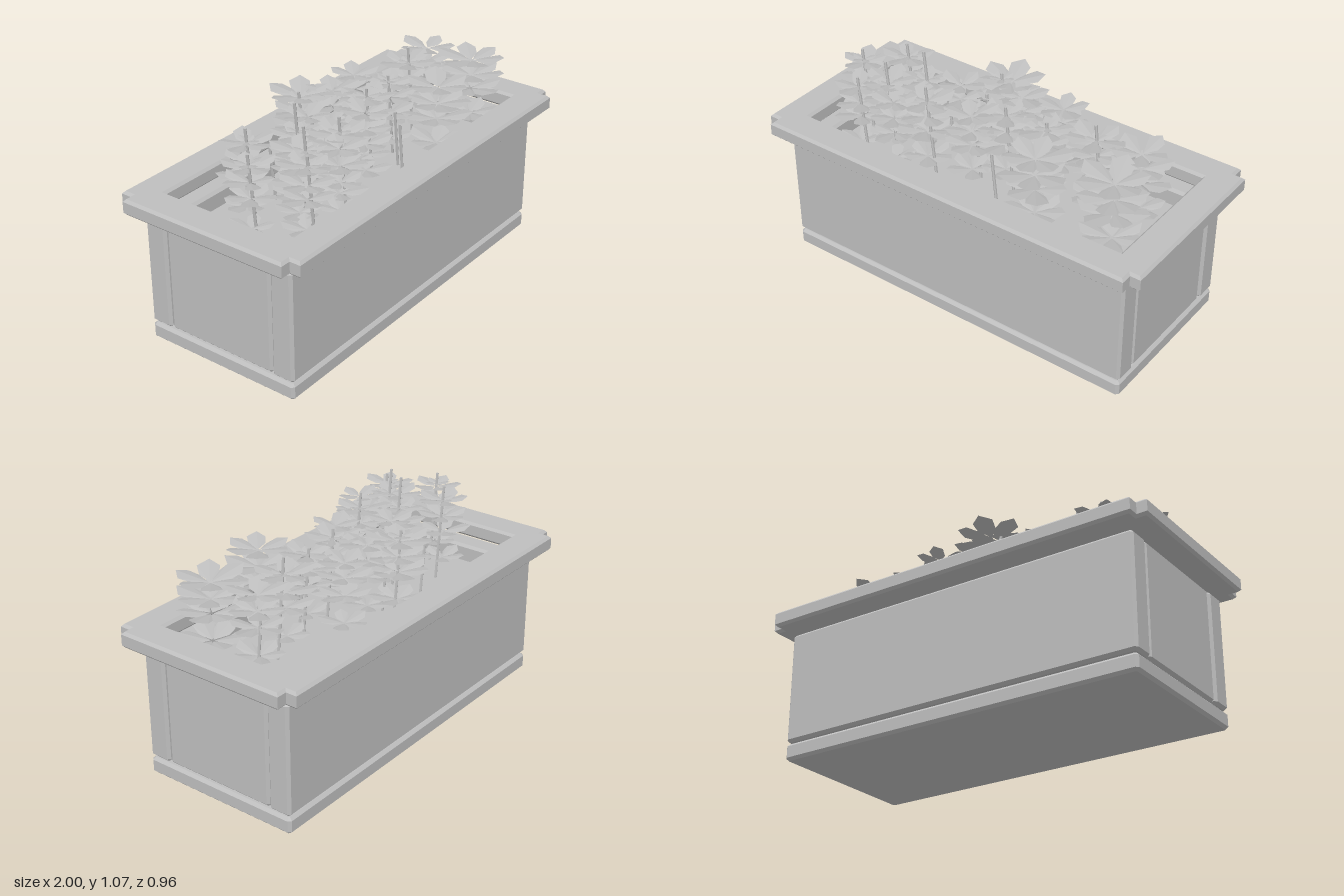
import * as THREE from 'three';
import { mergeGeometries } from 'three/addons/utils/BufferGeometryUtils.js';

const grey = new THREE.MeshStandardMaterial({ color: 0xbebebe });
grey.name = 'grey';
grey.side = THREE.DoubleSide;

// Upright slab from an x/z outline, with chamfered top and bottom edges
function slab(shape, y, h, c) {
  const g = new THREE.ExtrudeGeometry(shape, {
    depth: h - 2 * c, bevelEnabled: true, bevelThickness: c,
    bevelSize: c, bevelOffset: -c, bevelSegments: 1,
  });
  g.rotateX(-Math.PI / 2);
  g.translate(0, y + c, 0);
  return g;
}

const outline = (pts) => new THREE.Shape(pts.map(([x, y]) => new THREE.Vector2(x, y)));

// Box chamfered on every edge
function chamferBox(w, h, d, y, c = 0.013) {
  const x = w / 2, z = d / 2;
  return slab(outline([
    [x - c, -z], [x, -z + c], [x, z - c], [x - c, z],
    [-x + c, z], [-x, z - c], [-x, -z + c], [-x + c, -z],
  ]), y, h, c);
}

// Small repeatable random source
let seed = 7;
const rand = () => (seed = (seed * 16807) % 2147483647) / 2147483647;

// Whorl of pointed leaves that curl up towards their tips
function whorl(x, y, z, radius, count, spin) {
  const leaf = [[0.05, 0], [0.42, 0.27], [0.74, 0.31], [1, 0.05], [0.8, -0.29], [0.4, -0.25]];
  const pos = [];
  for (let i = 0; i < count; i++) {
    const a = spin + (i / count) * Math.PI * 2 + (rand() - 0.5) * 0.25;
    const len = radius * (0.85 + rand() * 0.2);
    const twist = (rand() - 0.5) * 0.06;
    const p = leaf.map(([u, v]) => [
      x + len * (u * Math.cos(a) - v * Math.sin(a)),
      y + len * (0.2 * u * u + v * twist),
      z + len * (u * Math.sin(a) + v * Math.cos(a)),
    ]);
    for (let k = 1; k < p.length - 1; k++) pos.push(...p[0], ...p[k + 1], ...p[k]);
  }
  const g = new THREE.BufferGeometry();
  g.setAttribute('position', new THREE.Float32BufferAttribute(pos, 3));
  g.computeVertexNormals();
  return g;
}

export function createModel() {
  const model = new THREE.Group();
  const add = (name, geometry, x = 0, z = 0) => {
    const mesh = new THREE.Mesh(geometry, grey);
    mesh.name = name;
    mesh.position.set(x, 0, z);
    model.add(mesh);
  };

  // Trough: plinth, four wall boards and the soil
  add('plinth', chamferBox(1.82, 0.08, 0.79, 0));
  for (const s of [1, -1]) {
    add(s > 0 ? 'frontWall' : 'backWall', chamferBox(1.82, 0.535, 0.112, 0.087), 0, s * 0.339);
    add(s > 0 ? 'leftWall' : 'rightWall', chamferBox(0.11, 0.535, 0.56, 0.087), s * 0.85, 0);
  }
  const soil = new THREE.BoxGeometry(1.62, 0.46, 0.58);
  soil.translate(0, 0.31, 0);
  add('soil', soil);

  // Rim with notched corners around an open middle
  const X = 1, x = 0.95, Z = 0.478, z = 0.425;
  const rim = outline([
    [x, -Z], [x, -z], [X, -z], [X, z], [x, z], [x, Z],
    [-x, Z], [-x, z], [-X, z], [-X, -z], [-x, -z], [-x, -Z],
  ]);
  rim.holes.push(outline([[-0.845, -0.325], [-0.845, 0.325], [0.845, 0.325], [0.845, -0.325]]));
  add('rim', slab(rim, 0.645, 0.076, 0.012));

  // Leaning stems: x and z at the top, then height
  const stems = [
    [-0.75, 0.05, 0.975], [-0.61, 0.245, 0.97], [-0.6, -0.09, 0.99], [-0.52, 0.155, 1.04],
    [-0.41, 0.02, 1.065], [-0.29, 0.16, 0.995], [-0.13, -0.185, 0.955], [0.06, 0.045, 0.965],
    [0.26, 0.02, 0.95], [0.48, -0.025, 1.0], [0.1, 0.2, 0.82], [0.19, 0.11, 0.82],
    [0.66, -0.05, 0.81], [-0.15, -0.1, 0.88], [-0.1, 0.05, 0.8], [-0.4, -0.13, 0.82],
  ];
  const lean = 0.11, foot = 0.5;
  add('stems', mergeGeometries(stems.map(([sx, sz, top]) => {
    const g = new THREE.CylinderGeometry(0.007, 0.007, top - foot, 6).toNonIndexed();
    const p = g.attributes.position;
    for (let i = 0; i < p.count; i++) p.setX(i, p.getX(i) - p.getY(i) * lean);
    g.computeVertexNormals();
    g.translate(sx + lean * (top - foot) / 2, (top + foot) / 2, sz);
    return g;
  })));

  // Leaf whorls: x, z, radius, repeated in layers
  const plants = [
    [-0.74, 0.05, 0.12], [-0.61, 0.24, 0.125], [-0.6, -0.09, 0.13], [-0.52, 0.13, 0.13],
    [-0.41, 0.02, 0.13], [-0.29, 0.16, 0.14], [-0.4, 0.25, 0.115], [-0.09, -0.2, 0.155],
    [-0.06, 0.13, 0.13], [0.06, 0.04, 0.14], [0.03, -0.12, 0.13], [0.23, -0.15, 0.13],
    [0.26, 0.03, 0.13], [0.35, 0.23, 0.16], [0.48, -0.03, 0.14], [0.69, -0.06, 0.14],
    [0.71, 0.18, 0.17], [-0.25, -0.04, 0.12],
  ];
  [0.627, 0.76, 0.835, 0.91].forEach((y, layer) => {
    add('leafLayer' + (layer + 1), mergeGeometries(plants.map(([px, pz, r]) =>
      whorl(px, y + rand() * 0.012, pz, layer ? r : r * 0.9, r > 0.15 ? 6 : 5, rand() * 6.28))));
  });

  // Small crown leaves around the tall stems
  add('crownLeaves', mergeGeometries(stems.slice(0, 10).map(([sx, sz, top]) =>
    whorl(sx + lean * (top - 0.925), 0.925, sz, 0.06, 5, rand() * 6.28))));
  return model;
}
